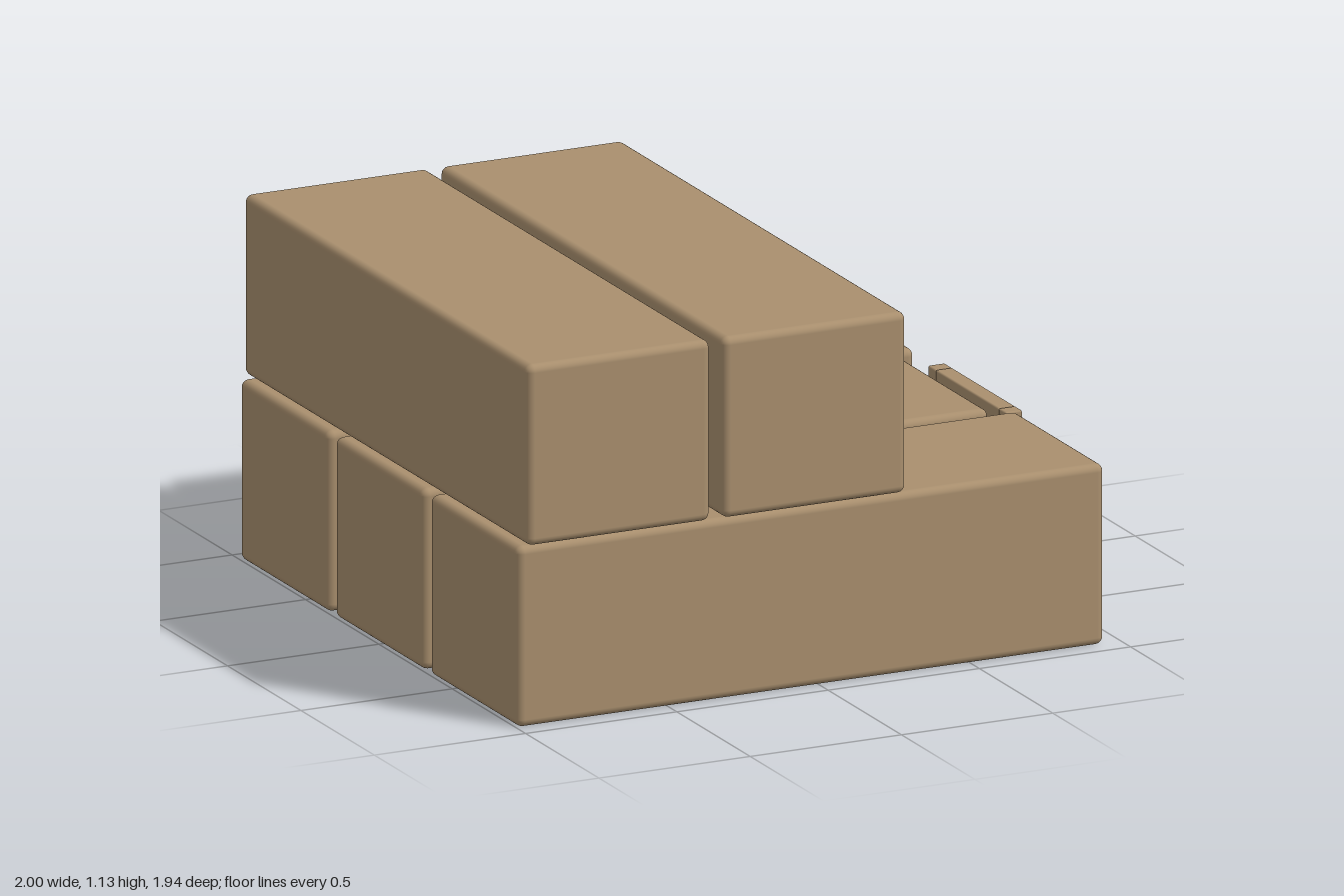
import * as THREE from 'three';
import { RoundedBoxGeometry } from 'three/addons/geometries/RoundedBoxGeometry.js';

export function createModel() {
  const model = new THREE.Group();
  model.name = 'stackedBlocks';

  const tan = new THREE.MeshStandardMaterial({ color: 0xa98f6e });
  tan.name = 'tan';
  const blue = new THREE.MeshStandardMaterial({ color: 0x2c639b });
  blue.name = 'blue';

  // Rounded box given by its minimum and maximum corners
  function block(parent, name, min, max, radius, material = tan) {
    const size = max.map((v, i) => v - min[i]);
    const mesh = new THREE.Mesh(new RoundedBoxGeometry(...size, 3, radius), material);
    mesh.position.set(...max.map((v, i) => (v + min[i]) / 2));
    mesh.name = name;
    parent.add(mesh);
  }

  // Lower layer: three long blocks, the middle one shorter
  block(model, 'lowerBlockFront', [-1, 0, 0.342], [0.94, 0.563, 0.948], 0.024);
  block(model, 'lowerBlockMiddle', [-1, 0, -0.305], [0.872, 0.563, 0.302], 0.024);
  block(model, 'lowerBlockBack', [-1, 0, -0.952], [0.94, 0.563, -0.346], 0.024);

  // Upper layer: two blocks laid crosswise
  block(model, 'upperBlockRight', [-0.977, 0.567, -0.972], [-0.371, 1.13, 0.968], 0.024);
  block(model, 'upperBlockLeft', [-0.33, 0.567, -0.972], [0.276, 1.13, 0.968], 0.024);

  // Window in front of the short middle block
  const win = new THREE.Group();
  win.name = 'window';
  model.add(win);
  for (const [name, z] of [['stileFront', 0.238], ['stileBack', -0.242]]) {
    block(win, name, [0.944, 0.04, z - 0.025], [1, 0.532, z + 0.025], 0.006);
  }
  for (const [name, y] of [['railBottom', 0.065], ['railTop', 0.507]]) {
    block(win, name, [0.944, y - 0.025, -0.217], [1, y + 0.025, 0.213], 0.006);
  }
  const pane = new THREE.Mesh(new THREE.BoxGeometry(0.009, 0.394, 0.432), blue);
  pane.name = 'pane';
  pane.position.set(0.972, 0.286, -0.002);
  win.add(pane);

  return model;
}
